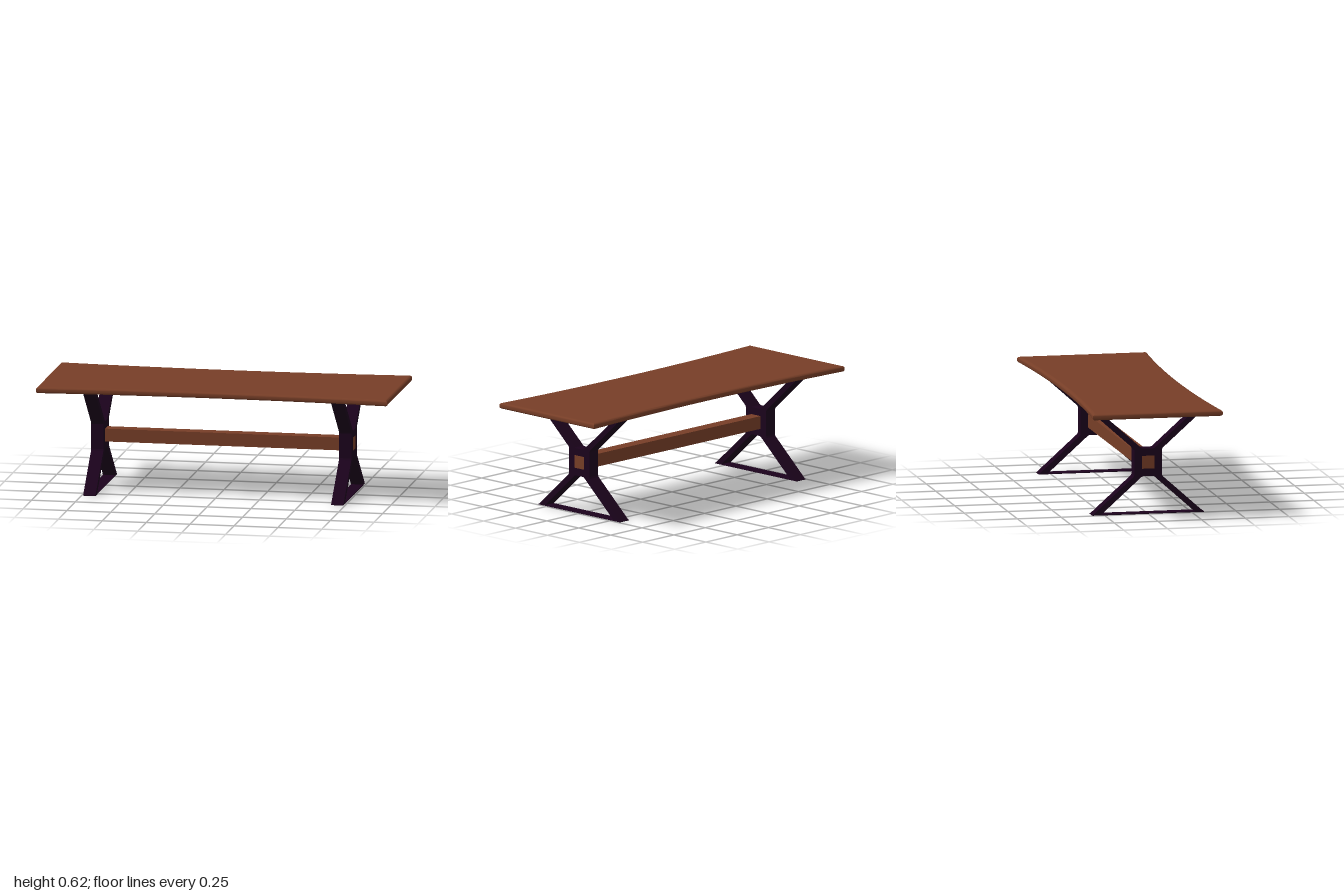
import * as THREE from 'three';
import { toCreasedNormals } from 'three/addons/utils/BufferGeometryUtils.js';

const wood = new THREE.MeshStandardMaterial({ color: 0x773e27, name: 'brown wood' });
const dark = new THREE.MeshStandardMaterial({ color: 0x1b021c, name: 'dark painted metal' });
const stain = new THREE.MeshStandardMaterial({ color: 0x341804, name: 'dark underside stain' });

function add(parent, name, geometry, material, x = 0, y = 0, z = 0) {
  const mesh = new THREE.Mesh(geometry, material);
  mesh.name = name;
  mesh.position.set(x, y, z);
  parent.add(mesh);
  return mesh;
}

// Tabletop: waisted outline with softly rounded edges
function tabletopGeometry() {
  const outline = [];
  const steps = 24;
  const halfDepth = x => 0.333 + 0.038 * x * x;
  for (const side of [-1, 1]) {
    for (let i = 0; i <= steps; i++) {
      const x = side * (1 - (2 * i) / steps);
      outline.push(new THREE.Vector2(x, side * halfDepth(x)));
    }
  }
  const bottom = 0.583, top = 0.618, roll = 0.011, inset = 0.018;
  const extruded = new THREE.ExtrudeGeometry(new THREE.Shape(outline), {
    depth: top - bottom - 2 * roll, bevelThickness: roll, bevelSize: inset, bevelOffset: -inset, bevelSegments: 5,
  });
  extruded.rotateX(-Math.PI / 2);
  extruded.translate(0, bottom + roll, 0);
  const geometry = toCreasedNormals(extruded, 0.6);

  // Keep the large upper and lower faces perfectly flat
  const { position, normal } = geometry.attributes;
  for (let i = 0; i < position.count; i += 3) {
    for (const [level, up] of [[bottom, -1], [top, 1]]) {
      if ([0, 1, 2].every(k => Math.abs(position.getY(i + k) - level) < 1e-4)) {
        for (let k = 0; k < 3; k++) normal.setXYZ(i + k, 0, up, 0);
      }
    }
  }
  return geometry;
}

// Downward-facing patch with a smooth closed outline given as x, z points
function patchGeometry(points) {
  const curve = new THREE.CatmullRomCurve3(points.map(([x, z]) => new THREE.Vector3(x, z, 0)), true);
  const outline = curve.getPoints(40).slice(0, -1).map(p => new THREE.Vector2(p.x, p.y));
  return new THREE.ShapeGeometry(new THREE.Shape(outline)).rotateX(Math.PI / 2);
}

// X-shaped trestle: one quadrant of the profile, mirrored into four
function trestleGeometry(width) {
  const mid = 0.292;
  const quadrant = [[0.079, 0.071], [0.084, 0.081], [0.319, 0.291], [0.272, 0.291], [0.037, 0.081], [0.029, 0.078]];
  const points = [];
  for (const [sz, sy] of [[1, 1], [-1, 1], [-1, -1], [1, -1]]) {
    const q = sz * sy > 0 ? quadrant : [...quadrant].reverse();
    for (const [z, y] of q) points.push(new THREE.Vector2(sz * z, mid + sy * y));
  }
  const geometry = new THREE.ExtrudeGeometry(new THREE.Shape(points), { depth: width, bevelEnabled: false });
  geometry.translate(0, 0, -width / 2);
  geometry.rotateY(Math.PI / 2);
  return geometry;
}

export function createModel() {
  const table = new THREE.Group();
  table.name = 'trestleTable';

  add(table, 'tabletop', tabletopGeometry(), wood);

  // Dark stains on the underside
  const stains = [
    [[0.96, -0.05], [0.65, -0.08], [0.4, -0.04], [0.4, 0.08], [0.55, 0.15], [0.5, 0.3], [0.7, 0.32], [0.95, 0.33]],
    [[-0.35, 0.22], [-0.6, 0.22], [-0.78, 0.27], [-0.7, 0.32], [-0.4, 0.31]],
    [[-0.06, 0.1], [-0.1, 0.08], [-0.14, 0.11], [-0.1, 0.13]],
    [[-0.17, 0.16], [-0.22, 0.14], [-0.27, 0.17], [-0.21, 0.2]],
  ];
  for (const points of stains) add(table, 'undersideStain', patchGeometry(points), stain, 0, 0.5822, 0);

  // Stretcher beam running through both trestles
  add(table, 'stretcherBeam', new THREE.BoxGeometry(1.4828, 0.073, 0.073), wood, 0, 0.293, 0);

  const width = 0.07;
  const trestle = trestleGeometry(width);
  const plate = new THREE.BoxGeometry(width, 0.004, 0.638);
  for (const [side, x] of [['left', 0.706], ['right', -0.706]]) {
    const group = new THREE.Group();
    group.name = side + 'Trestle';
    group.position.x = x;
    add(group, 'crossedLegs', trestle, dark);
    // Thin strips joining the feet and the upper leg ends
    add(group, 'floorStrip', plate, dark, 0, 0.002, 0);
    add(group, 'topStrip', plate, dark, 0, 0.582, 0);
    table.add(group);
  }
  return table;
}
